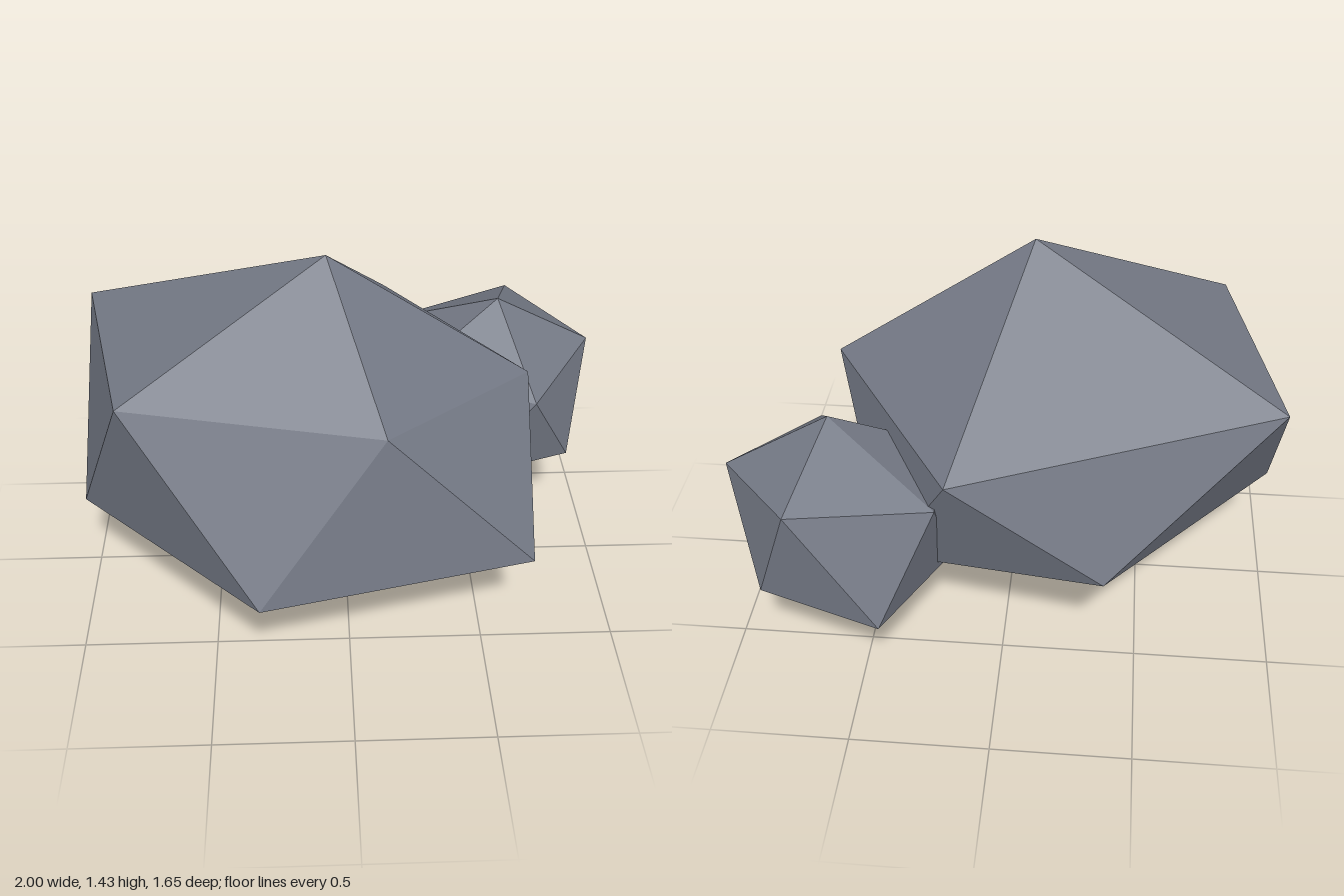
import * as THREE from 'three';

const stone = new THREE.MeshStandardMaterial({ color: 0x737884 });
stone.name = 'slateGrey';
stone.flatShading = true;

// Irregular twenty-sided stone: top point, upper ring, lower ring, bottom point.
// Rings run anticlockwise from above; lower[i] sits between upper[i] and upper[i + 1].
function makeRock(name, top, upper, lower, bottom) {
  const positions = [];
  const face = (...corners) => corners.forEach((p) => positions.push(...p));
  const n = upper.length;
  for (let i = 0; i < n; i++) {
    const j = (i + 1) % n;
    face(top, upper[i], upper[j]);
    face(upper[i], lower[i], upper[j]);
    face(upper[j], lower[i], lower[j]);
    face(bottom, lower[j], lower[i]);
  }
  const geometry = new THREE.BufferGeometry();
  geometry.setAttribute('position', new THREE.Float32BufferAttribute(positions, 3));
  geometry.computeVertexNormals();
  const mesh = new THREE.Mesh(geometry, stone);
  mesh.name = name;
  return mesh;
}

export function createModel() {
  const group = new THREE.Group();
  group.name = 'rocks';

  // Large boulder
  group.add(makeRock(
    'largeRock',
    [-0.07, 1.43, 0.1],
    [[-0.97, 1.04, -0.36], [-0.79, 1.06, 0.48], [0.12, 1.01, 0.61], [0.67, 0.93, 0.09], [0.18, 0.885, -0.66]],
    [[-1, 0.41, 0.13], [-0.32, 0.455, 0.825], [0.66, 0.44, 0.58], [0.44, 0.36, -0.42], [-0.37, 0.5, -0.67]],
    [-0.16, 0, 0.06],
  ));

  // Small stone leaning against its back corner
  group.add(makeRock(
    'smallRock',
    [0.62, 0.965, -0.39],
    [[0.22, 0.75, -0.62], [0.25, 0.73, -0.2], [0.74, 0.7, -0.03], [1, 0.755, -0.42], [0.71, 0.81, -0.77]],
    [[0.2, 0.34, -0.37], [0.46, 0.37, 0], [0.91, 0.365, -0.16], [0.84, 0.42, -0.71], [0.4, 0.38, -0.825]],
    [0.58, 0.17, -0.4],
  ));

  return group;
}
